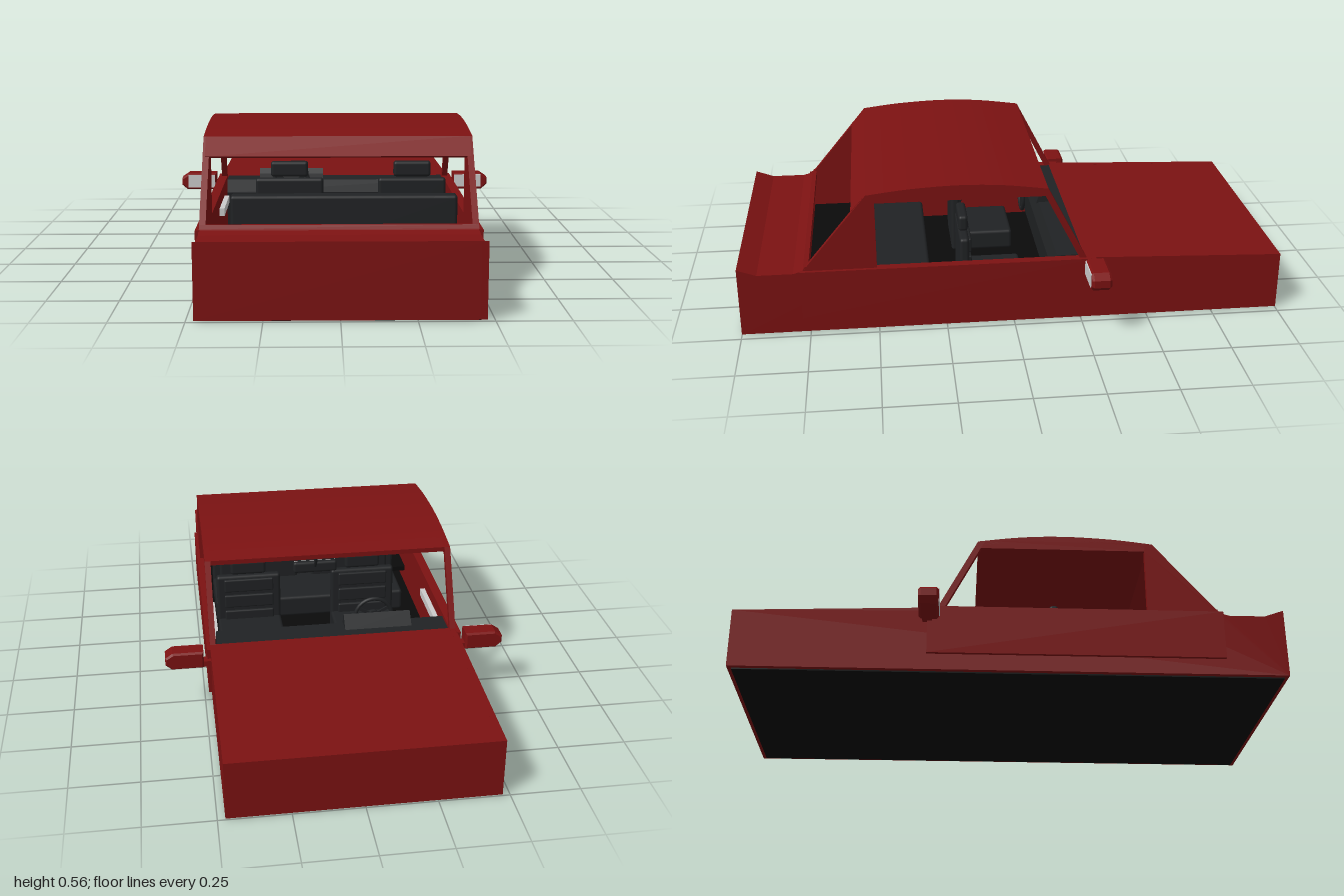
import * as THREE from 'three';
import { RoundedBoxGeometry } from 'three/addons/geometries/RoundedBoxGeometry.js';

const mat = (color) => new THREE.MeshStandardMaterial({ color, side: THREE.DoubleSide });

export function createModel() {
  const car = new THREE.Group();
  car.name = 'car';
  const red = mat(0x7c1212), dark = mat(0x202224), black = mat(0x0a0a0a), grey = mat(0xcccccc);

  const add = (name, geometry, material, x = 0, y = 0, z = 0, parent = car) => {
    const mesh = new THREE.Mesh(geometry, material);
    mesh.name = name;
    mesh.position.set(x, y, z);
    parent.add(mesh);
    return mesh;
  };
  const box = (name, w, h, d, material, x, y, z) =>
    add(name, new THREE.BoxGeometry(w, h, d), material, x, y, z);
  const pad = (name, w, h, d, x, y, z, r = 0.012) =>
    add(name, new RoundedBoxGeometry(w, h, d, 2, r), dark, x, y, z);
  const shapeOf = (points) => new THREE.Shape(points.map(([a, b]) => new THREE.Vector2(a, b)));
  // Extrudes a (z, y) profile across x, centred on x = 0
  const across = (shape, width) => new THREE.ExtrudeGeometry(shape, { depth: width, bevelEnabled: false })
    .rotateY(-Math.PI / 2).translate(width / 2, 0, 0);

  // Roof curve, shared by the roof skin and the side panels
  const roofLine = new THREE.SplineCurve([[0.53, 0.533], [0.38, 0.55], [0.2, 0.558], [0.04, 0.551], [-0.12, 0.53]]
    .map(([z, y]) => new THREE.Vector2(z, y))).getPoints(16).map((p) => [p.x, p.y]);

  // Full-length sides with the window opening
  const side = shapeOf([[-1, 0.005], [1, 0.005], [1, 0.265], [0.93, 0.24], [0.8, 0.24], [0.765, 0.25],
    ...roofLine, [-0.265, 0.25], [-1, 0.225]]);
  side.holes.push(new THREE.Path([[0.5, 0.25], [0.5, 0.502], [-0.11, 0.502], [-0.24, 0.25]]
    .map(([z, y]) => new THREE.Vector2(z, y))));
  for (const s of [-1, 1]) {
    add(s > 0 ? 'leftSide' : 'rightSide', across(side, 0.022), red, s * 0.462);
    box('doorPanel', 0.016, 0.185, 1.075, red, s * 0.478, 0.1575, 0.2375);
    box('doorArmrest', 0.02, 0.03, 0.26, grey, s * 0.442, 0.185, 0.05);
  }

  // Long and short decks
  add('longDeck', across(shapeOf([[-1, 0.005], [-0.26, 0.005], [-0.26, 0.25], [-1, 0.225]]), 0.944), red);
  add('shortDeck', across(shapeOf([[0.765, 0.005], [1, 0.005], [1, 0.265], [0.93, 0.24], [0.8, 0.24], [0.765, 0.25]]), 0.944), red);
  box('floor', 0.91, 0.03, 1.97, black, 0, 0.015, 0);

  // Roof skin and the header above the large window
  add('roof', across(shapeOf([...roofLine, ...roofLine.map(([z, y]) => [z, y - 0.018]).reverse()]), 0.946), red);
  add('windowHeader', across(shapeOf([[0.53, 0.533], [0.585, 0.47], [0.572, 0.463], [0.51, 0.52]]), 0.93), red);
  add('windowSill', across(shapeOf([[0.745, 0.24], [0.78, 0.24], [0.765, 0.252], [0.757, 0.265], [0.745, 0.265]]), 0.944), red);

  // Bench: back, cushion and stitched pads
  pad('benchBack', 0.8, 0.3, 0.06, 0.02, 0.18, 0.555);
  pad('benchCushion', 0.8, 0.09, 0.24, 0.02, 0.09, 0.42);
  for (const x of [-0.18, 0.22]) pad('benchPad', 0.34, 0.17, 0.025, x, 0.2, 0.52);
  box('benchShelf', 0.9, 0.02, 0.18, black, 0, 0.1, 0.67);

  // Pair of separate seats
  for (const x of [-0.18, 0.29]) {
    pad('seatBack', 0.26, 0.27, 0.035, x, 0.185, 0.178);
    pad('headrest', 0.143, 0.06, 0.035, x, 0.355, 0.178);
    pad('seatCushion', 0.26, 0.08, 0.22, x, 0.09, 0.06);
    for (const y of [0.14, 0.21, 0.28]) pad('seatPad', 0.2, 0.055, 0.016, x, y, 0.158, 0.006);
  }

  // Dashboard with a hood over the dials
  add('dashboard', across(shapeOf([[-0.26, 0.06], [-0.15, 0.06], [-0.14, 0.2], [-0.16, 0.25], [-0.26, 0.25]]), 0.89), dark);
  add('dialHood', across(shapeOf([[-0.225, 0.245], [-0.15, 0.245], [-0.16, 0.275], [-0.175, 0.295]]), 0.26), dark, -0.18);

  // Steering wheel
  const wheel = new THREE.Group();
  wheel.name = 'steeringWheel';
  wheel.position.set(-0.18, 0.245, -0.105);
  car.add(wheel);
  add('rim', new THREE.TorusGeometry(0.072, 0.008, 8, 28), dark, 0, 0, 0, wheel);
  add('hub', new THREE.CylinderGeometry(0.022, 0.022, 0.016, 16).rotateX(Math.PI / 2), dark, 0, 0, 0, wheel);
  add('column', new THREE.CylinderGeometry(0.012, 0.012, 0.06, 12).rotateX(Math.PI / 2), dark, 0, 0, -0.03, wheel);
  for (const a of [0, 2.1, 4.2]) {
    const spoke = new THREE.BoxGeometry(0.012, 0.07, 0.008).translate(0, -0.035, 0).rotateZ(a);
    add('spoke', spoke, dark, 0, 0, 0, wheel);
  }

  // Inside mirror on its stalk
  pad('insideMirror', 0.17, 0.045, 0.025, 0.045, 0.45, -0.052, 0.01);
  box('insideMirrorGlass', 0.162, 0.038, 0.003, grey, 0.045, 0.45, -0.039);
  const stalk = new THREE.LineCurve3(new THREE.Vector3(0.045, 0.455, -0.06), new THREE.Vector3(0.045, 0.515, -0.105));
  add('insideMirrorStalk', new THREE.TubeGeometry(stalk, 1, 0.006, 8), dark);

  // Outside mirrors with chamfered outer ends
  const housing = [[0.5, 0.19], [0.62, 0.19], [0.643, 0.21], [0.643, 0.238], [0.615, 0.257], [0.5, 0.257]];
  for (const s of [-1, 1]) {
    const pts = housing.map(([x, y]) => [x * s, y]);
    const geo = new THREE.ExtrudeGeometry(shapeOf(s > 0 ? pts : pts.reverse()),
      { depth: 0.056, bevelEnabled: true, bevelThickness: 0.008, bevelSize: 0.006, bevelOffset: -0.006, bevelSegments: 1 });
    add('sideMirror', geo, red, 0, 0, -0.322);
    box('sideMirrorGlass', 0.112, 0.052, 0.004, grey, s * 0.56, 0.226, -0.257);
    box('sideMirrorArm', 0.05, 0.022, 0.035, red, s * 0.485, 0.201, -0.3);
  }
  return car;
}
